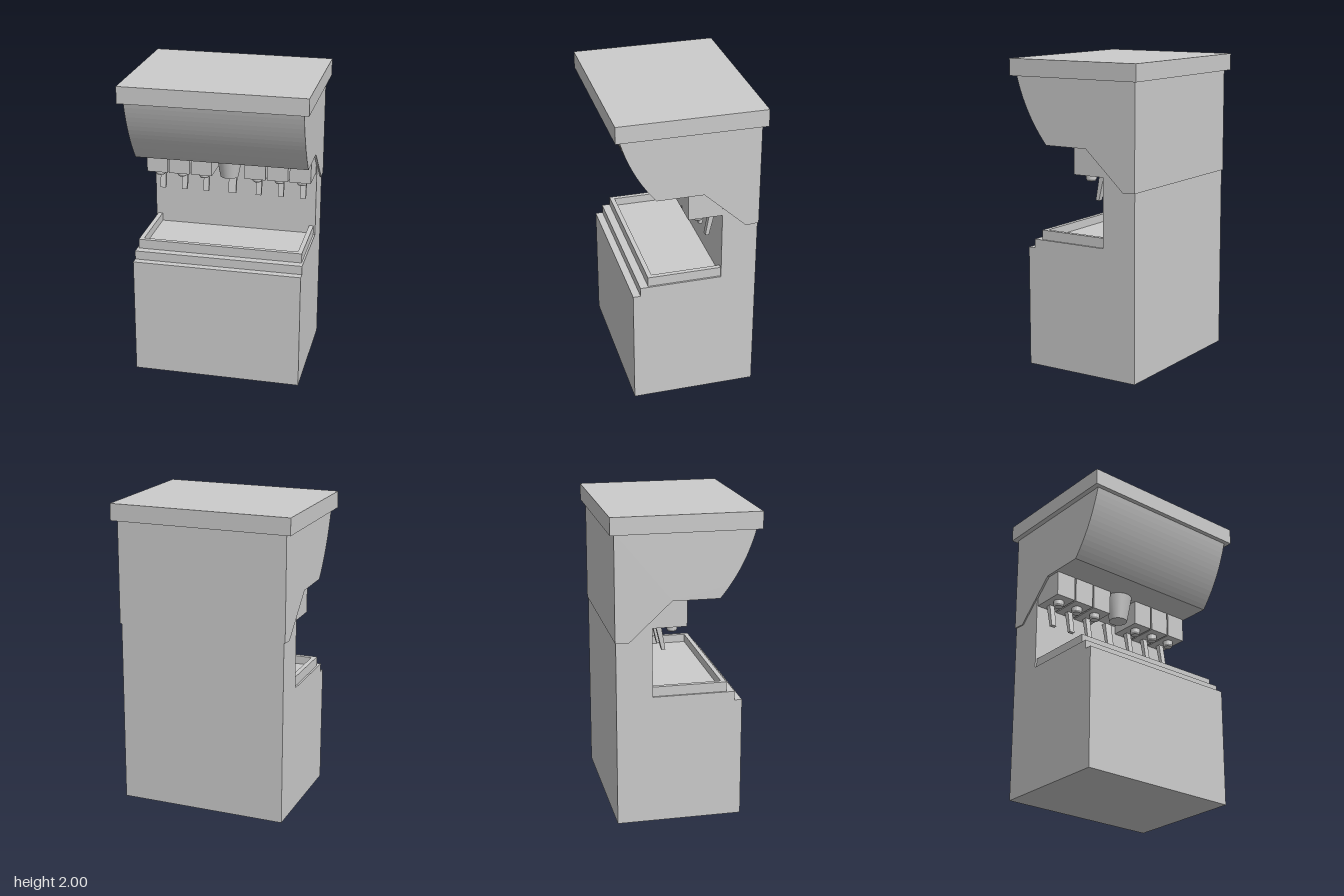
import * as THREE from 'three';

const material = new THREE.MeshStandardMaterial({ color: 0xcccccc, flatShading: true });
const smoothMaterial = new THREE.MeshStandardMaterial({ color: 0xcccccc });

export function createModel() {
  const model = new THREE.Group();
  model.name = 'drinkDispenser';

  const add = (name, geometry, x = 0, y = 0, z = 0, parent = model, mat = material) => {
    const mesh = new THREE.Mesh(geometry, mat);
    mesh.name = name;
    mesh.position.set(x, y, z);
    parent.add(mesh);
    return mesh;
  };

  // Box given by its lower and upper limits
  const block = (name, x0, x1, y0, y1, z0, z1, parent = model) =>
    add(name, new THREE.BoxGeometry(x1 - x0, y1 - y0, z1 - z0),
      (x0 + x1) / 2, (y0 + y1) / 2, (z0 + z1) / 2, parent);

  // Side profile drawn in (z, y), extruded across the width
  const sideExtrude = (shape, halfWidth) => {
    const g = new THREE.ExtrudeGeometry(shape, { depth: halfWidth * 2, bevelEnabled: false, curveSegments: 14 });
    g.translate(0, 0, -halfWidth);
    g.rotateY(-Math.PI / 2);
    return g;
  };

  // Cabinet: base, stepped ledge and back column in one profile
  const cabinet = new THREE.Shape([
    [-0.438, 0], [0.37, 0], [0.37, 0.785], [0.322, 0.785], [0.322, 0.843],
    [-0.207, 0.843], [-0.207, 1.5], [-0.438, 1.5],
  ].map(([z, y]) => new THREE.Vector2(z, y)));
  add('cabinet', sideExtrude(cabinet, 0.555));

  // Hood with curved front and sloping underside
  const hood = new THREE.Shape();
  hood.moveTo(-0.443, 1.9);
  hood.lineTo(-0.443, 1.212);
  hood.lineTo(-0.36, 1.205);
  hood.lineTo(-0.085, 1.46);
  hood.lineTo(0.217, 1.46);
  hood.quadraticCurveTo(0.375, 1.645, 0.442, 1.89);
  hood.lineTo(0.442, 1.9);
  add('hood', sideExtrude(hood, 0.564));

  // Lid
  block('lid', -0.598, 0.598, 1.89, 2, -0.472, 0.472);

  // Drip tray: raised rim on three sides and a floor
  const tray = new THREE.Group();
  tray.name = 'dripTray';
  model.add(tray);
  block('trayFloor', -0.53, 0.53, 0.835, 0.852, -0.207, 0.26, tray);
  block('trayFrontRim', -0.543, 0.543, 0.84, 0.906, 0.24, 0.27, tray);
  for (const s of [-1, 1]) {
    const x = s * 0.528;
    block('traySideRim', x - 0.015, x + 0.015, 0.84, 0.906, -0.207, 0.24, tray);
  }

  // Tapered lever leaning forward toward its lower end
  const lever = (width, parent) => {
    const shape = new THREE.Shape([
      [-0.18, 1.31], [-0.138, 1.13], [-0.115, 1.133], [-0.145, 1.31],
    ].map(([z, y]) => new THREE.Vector2(z, y)));
    add('lever', sideExtrude(shape, width / 2), 0, 0, 0, parent);
  };

  // Six valves, each with a body, nozzle and lever
  const nozzle = new THREE.LatheGeometry([
    [0.034, 1.295], [0.034, 1.262], [0.027, 1.25], [0.018, 1.248], [0, 1.248],
  ].reverse().map(([r, y]) => new THREE.Vector2(r, y)), 20);
  for (const s of [-1, 1]) {
    for (const x of [0.18, 0.33, 0.48]) {
      const valve = new THREE.Group();
      valve.name = 'valve';
      valve.position.x = s * x;
      model.add(valve);
      block('valveBody', -0.07, 0.07, 1.29, 1.458, -0.21, 0.012, valve);
      add('nozzle', nozzle, 0, 0, -0.07, valve);
      lever(0.037, valve);
    }
  }

  // Central ice chute with a wider lever
  const chute = new THREE.Group();
  chute.name = 'iceChute';
  model.add(chute);
  add('chuteCone', new THREE.CylinderGeometry(0.092, 0.06, 0.178, 28), 0, 1.374, -0.037, chute, smoothMaterial);
  lever(0.052, chute);

  return model;
}
